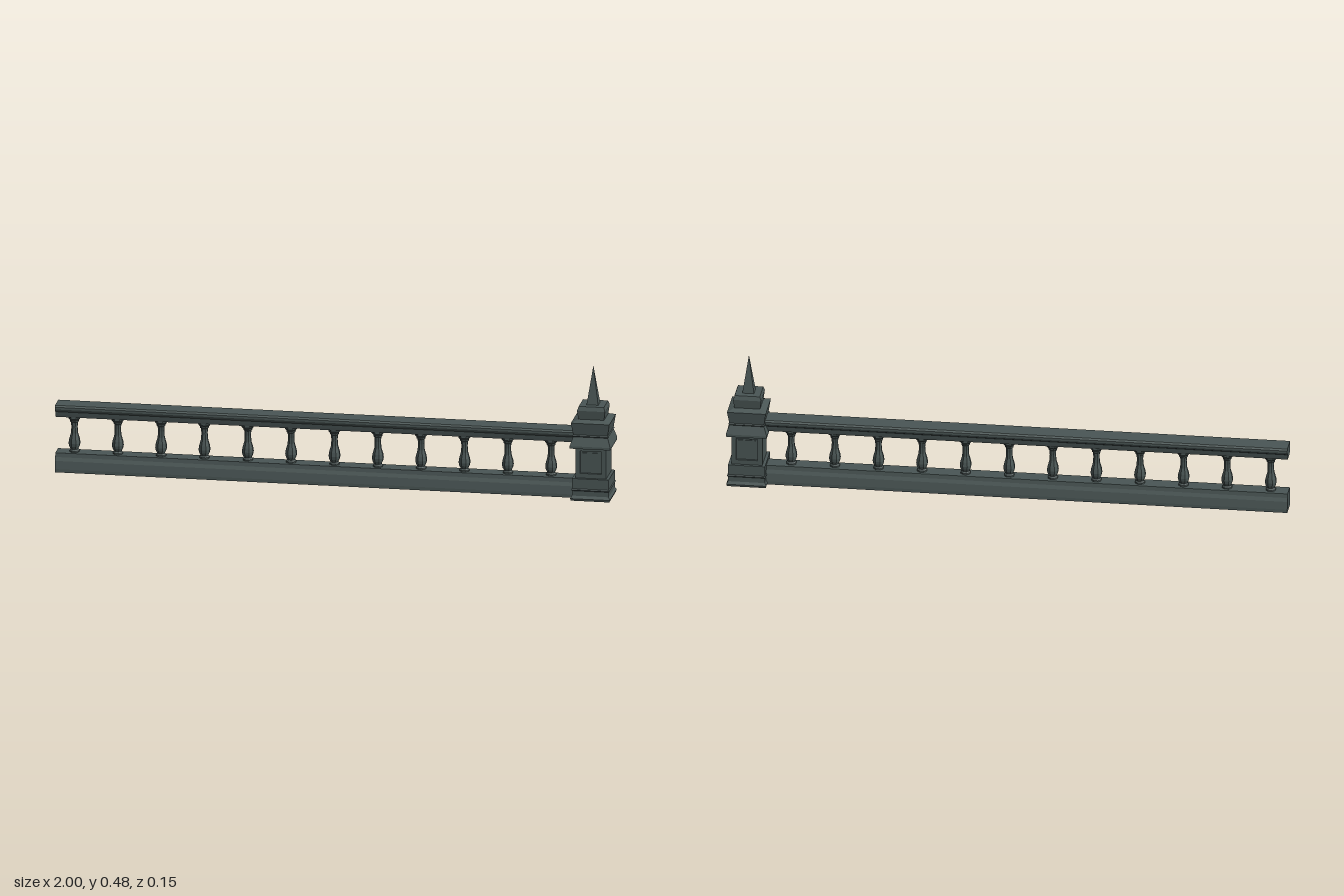
import * as THREE from 'three';

const POST_X = 0.927;

// Faceted solid of revolution; with 4 sides the radius is the half width of the square
function turned(profile, sides) {
  const k = 1 / Math.cos(Math.PI / sides);
  const pts = profile.map(([r, y]) => new THREE.Vector2(r * k, y));
  const geo = new THREE.LatheGeometry(pts, sides, Math.PI / sides).toNonIndexed();
  geo.computeVertexNormals();
  return geo;
}

// Symmetric moulding swept along x, from half-width / height pairs
function moulding(half, length) {
  const right = half.map(([z, y]) => new THREE.Vector2(z, y));
  const left = half.map(([z, y]) => new THREE.Vector2(-z, y)).reverse();
  const geo = new THREE.ExtrudeGeometry(new THREE.Shape([...right, ...left]), { depth: length, bevelEnabled: false });
  return geo.rotateY(Math.PI / 2);
}

function rect(path, w, y0, y1) {
  path.moveTo(-w, y0);
  path.lineTo(w, y0);
  path.lineTo(w, y1);
  path.lineTo(-w, y1);
  path.closePath();
  return path;
}

export function createModel() {
  const model = new THREE.Group();
  model.name = 'balustrade';
  const stone = new THREE.MeshStandardMaterial({ color: 0x4a5655 });
  stone.name = 'dark stone';

  const add = (name, geo, parent = model, x = 0, y = 0, z = 0) => {
    const mesh = new THREE.Mesh(geo, stone);
    mesh.name = name;
    mesh.position.set(x, y, z);
    parent.add(mesh);
    return mesh;
  };

  // Plinth and handrail
  const length = POST_X - 0.045 + 1;
  add('plinth', moulding([[0.04, 0.004], [0.04, 0.016], [0.036, 0.045], [0.031, 0.058], [0.029, 0.073]], length), model, -1);
  add('handrail', moulding([[0.026, 0.205], [0.028, 0.214], [0.03, 0.225], [0.037, 0.23],
    [0.04, 0.236], [0.04, 0.244], [0.035, 0.25]], length), model, -1);

  // Balusters
  const balusterGeo = turned([[0.017, 0.07], [0.017, 0.078], [0.013, 0.083], [0.018, 0.094], [0.02, 0.105],
    [0.018, 0.12], [0.012, 0.142], [0.0105, 0.165], [0.012, 0.182], [0.015, 0.185],
    [0.015, 0.19], [0.021, 0.197], [0.021, 0.208]], 8);
  const balusters = new THREE.Group();
  balusters.name = 'balusters';
  model.add(balusters);
  for (let i = 0; i < 12; i++) add('baluster', balusterGeo, balusters, -0.936 + i * 0.1556);

  // End post
  const post = new THREE.Group();
  post.name = 'post';
  post.position.x = POST_X;
  model.add(post);

  add('postBase', turned([[0, 0.002], [0.069, 0.002], [0.0715, 0.01], [0.066, 0.02], [0.066, 0.038],
    [0.069, 0.042], [0.066, 0.046], [0.066, 0.083], [0, 0.083]], 4), post);

  // Shaft with a recessed, framed panel on front and back
  add('shaft', new THREE.BoxGeometry(0.11, 0.114, 0.094), post, 0, 0.139, 0);
  const frame = rect(new THREE.Shape(), 0.055, 0.082, 0.196);
  frame.holes.push(rect(new THREE.Path(), 0.038, 0.1, 0.182));
  const frameGeo = new THREE.ExtrudeGeometry(frame, { depth: 0.008, bevelEnabled: false });
  const trim = rect(new THREE.Shape(), 0.032, 0.107, 0.175);
  const trimGeo = new THREE.ExtrudeGeometry(trim, { depth: 0.003, bevelEnabled: false });
  for (const turn of [0, Math.PI]) {
    const face = new THREE.Group();
    face.name = turn ? 'backPanel' : 'frontPanel';
    face.rotation.y = turn;
    post.add(face);
    add('panelFrame', frameGeo, face, 0, 0, 0.047);
    add('panelField', trimGeo, face, 0, 0, 0.047);
  }

  // Stepped capital and spire
  add('capital', turned([[0, 0.195], [0.073, 0.195], [0.073, 0.204], [0.062, 0.236], [0.065, 0.24],
    [0.062, 0.244], [0.069, 0.288], [0.046, 0.297], [0.05, 0.329], [0.045, 0.344], [0, 0.344]], 4), post);
  add('spire', turned([[0.021, 0.343], [0, 0.484]], 4), post);

  return model;
}
